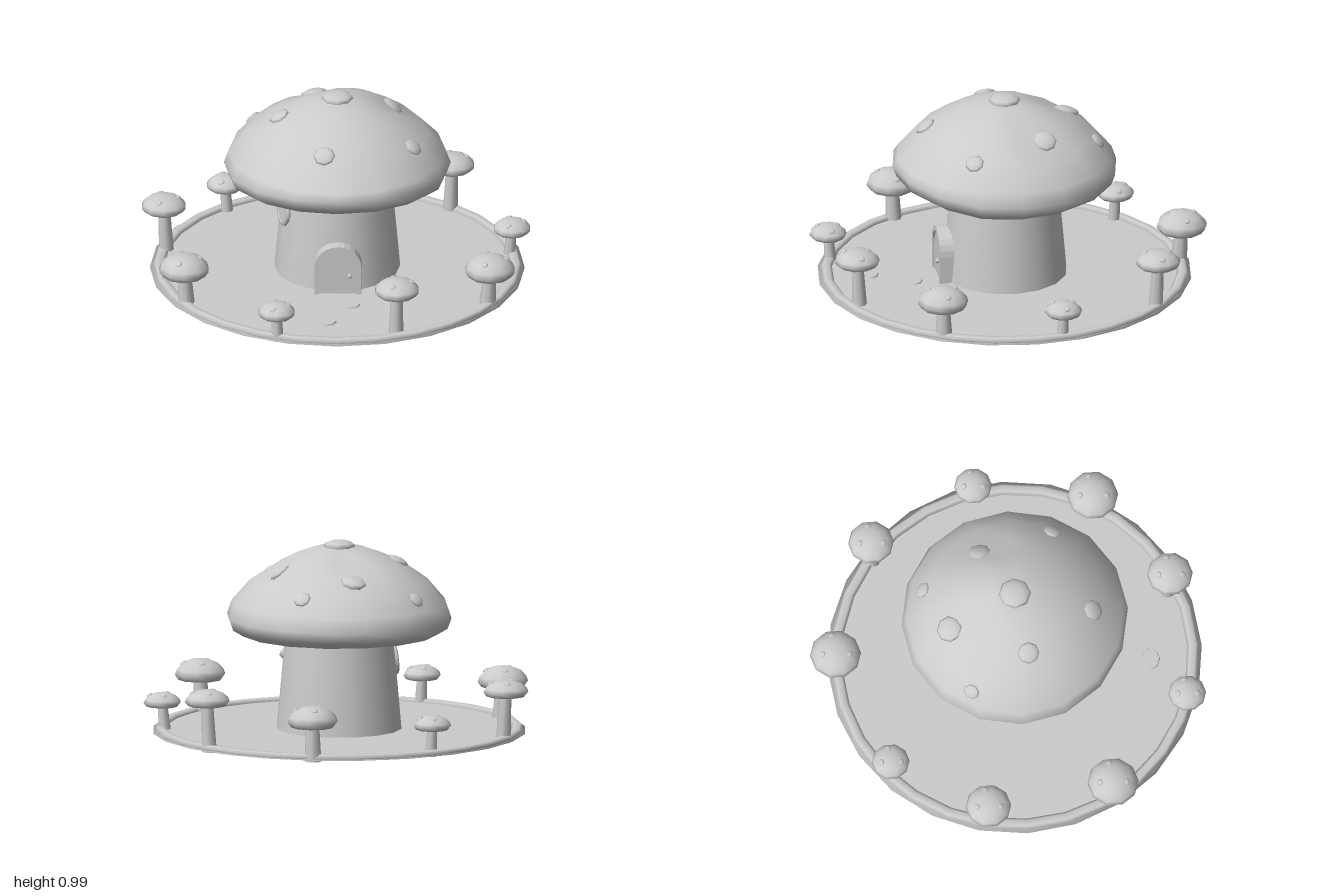
import * as THREE from 'three';
import { mergeVertices } from 'three/addons/utils/BufferGeometryUtils.js';

const CZ = 0.04; // z of the house axis
const UP = new THREE.Vector3(0, 1, 0);
const material = new THREE.MeshStandardMaterial({ color: 0xcccccc });
const thin = new THREE.MeshStandardMaterial({ color: 0xcccccc, side: THREE.DoubleSide });

function part(parent, name, geometry, x = 0, y = 0, z = 0, mat = material) {
  const mesh = new THREE.Mesh(geometry, mat);
  mesh.name = name;
  mesh.position.set(x, y, z);
  parent.add(mesh);
  return mesh;
}

const lathe = (profile, sides) =>
  new THREE.LatheGeometry(profile.map(([r, y]) => new THREE.Vector2(r, y)), sides);

// Join the seam and smooth the normals after moving vertices
function smooth(geometry) {
  geometry.deleteAttribute('uv');
  geometry.deleteAttribute('normal');
  const merged = mergeVertices(geometry, 1e-4);
  merged.computeVertexNormals();
  return merged;
}

// Upper profile of the big cap, rim to apex
const capTop = [[0.575, 0.6], [0.55, 0.67], [0.46, 0.775], [0.34, 0.86], [0.24, 0.91], [0.13, 0.95], [0, 0.96]];

// Two hollows in the back of the cap, in cap coordinates
const dents = [[-0.11, -0.25], [0.33, -0.12]];
const dent = (x, z) => dents.reduce(
  (sum, [dx, dz]) => sum + 0.045 * Math.exp(-((x - dx) ** 2 + (z - dz) ** 2) / 0.009), 0);

function capHeight(x, z) {
  const r = Math.hypot(x, z);
  const i = Math.max(0, capTop.findIndex((p) => p[0] <= r) - 1);
  const [r0, y0] = capTop[i];
  const [r1, y1] = capTop[i + 1];
  return y0 + (y1 - y0) * (r0 - r) / (r0 - r1) - dent(x, z);
}

function bigCap() {
  const geometry = lathe([[0.2, 0.55], [0.36, 0.525], [0.5, 0.512], [0.555, 0.545], ...capTop], 16);
  const p = geometry.attributes.position;
  for (let i = 0; i < p.count; i++) {
    const x = p.getX(i), y = p.getY(i), z = p.getZ(i);
    // The front of the rim is lifted slightly above the door
    if (y < 0.62) p.setY(i, y + 0.1 * Math.max(0, z - 0.2));
    else p.setY(i, y - dent(x, z));
  }
  return smooth(geometry);
}

// Flattened round spot lying on a surface with the given normal
function spot(parent, name, r, x, y, z, normal, flat = 0.35) {
  const mesh = part(parent, name, new THREE.SphereGeometry(r, 8, 6), x, y, z);
  mesh.scale.y = flat;
  mesh.quaternion.setFromUnitVectors(UP, normal.normalize());
}

// Outline of an arched doorway standing on y = 0
function arch(shape, halfWidth, height) {
  shape.moveTo(-halfWidth, 0);
  shape.lineTo(halfWidth, 0);
  shape.lineTo(halfWidth, height - halfWidth);
  shape.absarc(0, height - halfWidth, halfWidth, 0, Math.PI, false);
  shape.lineTo(-halfWidth, 0);
  return shape;
}

function door() {
  const group = new THREE.Group();
  group.name = 'door';
  group.position.set(0.005, 0.02, 0.3);
  const frame = arch(new THREE.Shape(), 0.12, 0.268);
  frame.holes.push(arch(new THREE.Path(), 0.096, 0.242));
  const extrude = (shape, depth) =>
    new THREE.ExtrudeGeometry(shape, { depth, bevelEnabled: false, curveSegments: 6 });
  part(group, 'doorFrame', extrude(frame, 0.093));
  part(group, 'doorPanel', extrude(arch(new THREE.Shape(), 0.098, 0.244), 0.083));
  part(group, 'doorKnob', new THREE.SphereGeometry(0.013, 8, 6), 0.06, 0.108, 0.095);
  return group;
}

function roundWindow() {
  const group = new THREE.Group();
  group.name = 'window';
  group.position.set(-0.27, 0.37, CZ + 0.085);
  group.rotation.set(-0.09, Math.atan2(-0.95, 0.3), 0, 'YXZ');
  part(group, 'windowFrame', new THREE.TorusGeometry(0.068, 0.014, 6, 14));
  part(group, 'windowPane', new THREE.CylinderGeometry(0.066, 0.066, 0.016, 14).rotateX(Math.PI / 2));
  return group;
}

// Small fence mushroom: cap radius r, cap underside y0, cap top y1
function smallMushroom(x, z, r, y0, y1) {
  const group = new THREE.Group();
  group.name = 'smallMushroom';
  group.position.set(x, 0, z);
  const h = y1 - y0;
  const stem = new THREE.CylinderGeometry(r * 0.25, r * 0.33, y0 + h * 0.4, 8);
  stem.translate(0, (y0 + h * 0.4) / 2, 0);
  // The foot of the stem leans in towards the house
  const p = stem.attributes.position;
  const d = Math.hypot(x, z);
  for (let i = 0; i < p.count; i++) {
    const lean = 0.015 * (1 - p.getY(i) / (y0 + h * 0.4));
    p.setX(i, p.getX(i) - lean * x / d);
    p.setZ(i, p.getZ(i) - lean * z / d);
  }
  part(group, 'smallStem', stem);
  const cap = smooth(lathe([[0, 0.12], [0.5, 0.05], [0.85, 0], [1, 0.25], [0.93, 0.5], [0.72, 0.78], [0.4, 0.95], [0, 1]]
    .map(([a, b]) => [a * r, y0 + b * h]), 10));
  part(group, 'smallCap', cap);
  for (const [dx, dz] of [[-0.15, -0.52], [0.65, -0.1], [-0.2, 0.55]]) {
    const q = dx * dx + dz * dz;
    const y = y0 + h * (0.25 + 0.75 * Math.sqrt(1 - q));
    spot(group, 'smallSpot', 0.017, dx * r, y - 0.002, dz * r, new THREE.Vector3(dx, 1, dz), 0.5);
  }
  return group;
}

export function createModel() {
  const model = new THREE.Group();
  model.name = 'mushroomHouse';

  // Ground disc with a hole under the trunk, and its low border
  part(model, 'ground', lathe([[0.31, 0.012], [0.88, 0.012], [0.95, 0.012], [0.88, 0.022], [0.31, 0.025]], 24), 0, 0, CZ, thin);
  const border = part(model, 'groundBorder', new THREE.TorusGeometry(0.905, 0.03, 6, 28).rotateX(Math.PI / 2), 0, 0.023, CZ);
  border.scale.y = 0.6;

  // House
  part(model, 'trunk', lathe([[0.32, 0.01], [0.308, 0.15], [0.29, 0.35], [0.268, 0.57]], 16), 0, 0, CZ, thin);
  part(model, 'bigCap', bigCap(), 0, 0, CZ, thin);
  model.add(door(), roundWindow());

  // Spots on the big cap: x, z, radius
  const spots = [
    [0, 0.04, 0.082], [-0.12, -0.3, 0.067], [0.28, -0.12, 0.06], [0.385, 0.26, 0.048],
    [-0.065, 0.435, 0.055], [-0.295, 0.09, 0.055], [-0.43, -0.21, 0.042], [0.125, -0.42, 0.044],
  ];
  for (const [x, wz, r] of spots) {
    const z = wz - CZ, e = 0.04;
    const normal = new THREE.Vector3(
      (capHeight(x - e, z) - capHeight(x + e, z)) / (2 * e), 1,
      (capHeight(x, z - e) - capHeight(x, z + e)) / (2 * e));
    spot(model, 'capSpot', r, x, capHeight(x, z), wz, normal);
  }

  // Stepping stones in front of the door
  for (const [x, z] of [[0.06, 0.52], [-0.06, 0.725]]) {
    const stone = part(model, 'steppingStone', new THREE.CylinderGeometry(0.055, 0.07, 0.032, 8), x, 0.016, z);
    stone.scale.z = 0.82;
  }

  // Ring of small mushrooms in three repeating sizes: radius, underside, top
  const sizes = [[0.13, 0.18, 0.285], [0.116, 0.24, 0.32], [0.096, 0.14, 0.21]];
  const places = [
    [0.01, -0.87], [0.58, -0.65], [0.885, -0.11], [0.775, 0.49], [0.305, 0.85],
    [-0.305, 0.895], [-0.775, 0.485], [-0.88, -0.155], [-0.57, -0.63],
  ];
  places.forEach(([x, z], i) => model.add(smallMushroom(x, z, ...sizes[i % 3])));

  return model;
}
